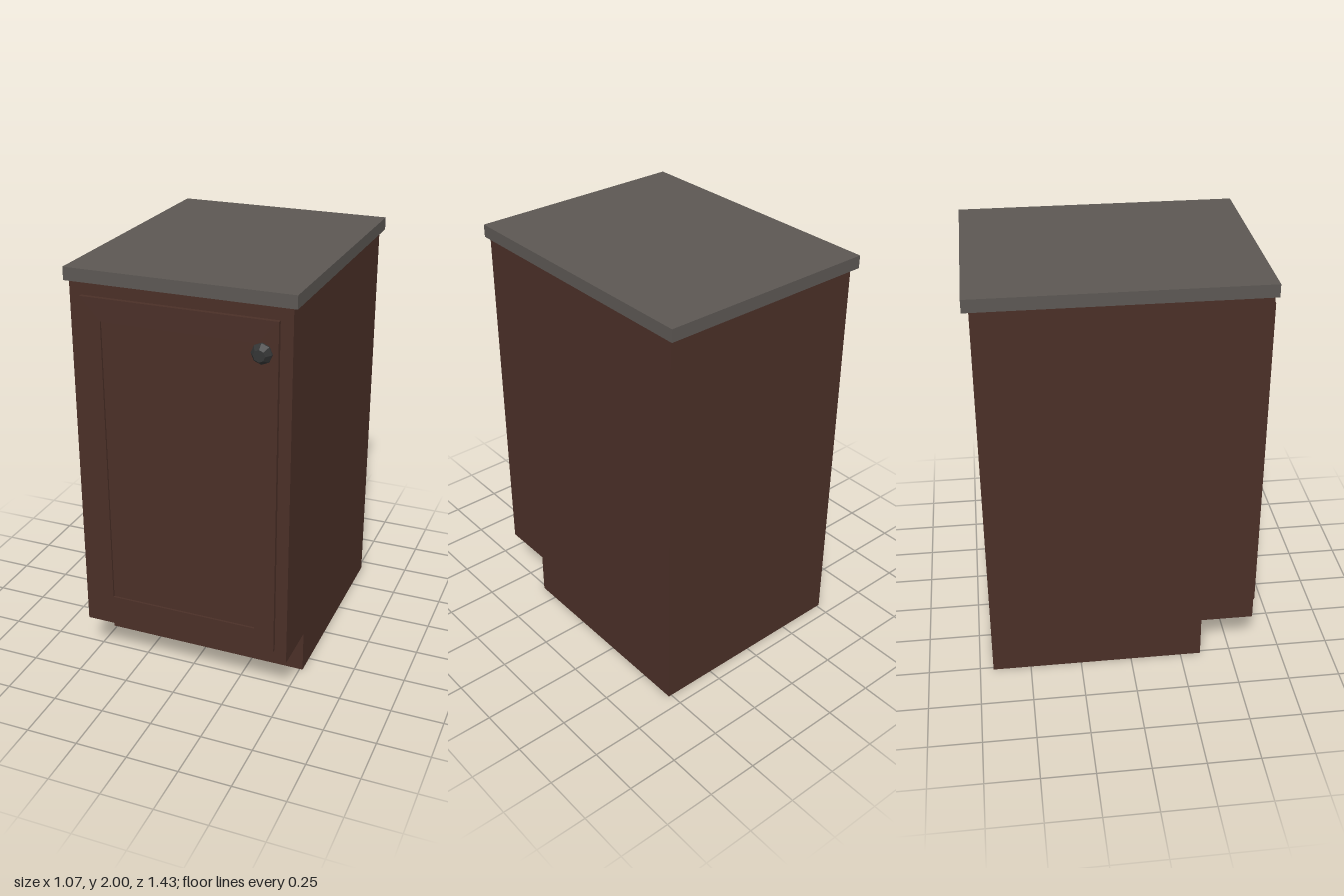
import * as THREE from 'three';

const wood = new THREE.MeshStandardMaterial({ color: 0x4a2f27, flatShading: true });
const stone = new THREE.MeshStandardMaterial({ color: 0x5c5753, flatShading: true });
const iron = new THREE.MeshStandardMaterial({ color: 0x333434, flatShading: true });

const polygon = (points) => new THREE.Shape(points.map(([x, y]) => new THREE.Vector2(x, y)));
const rectangle = (w, y0, y1) => [[-w, y0], [w, y0], [w, y1], [-w, y1]];
const extrude = (shape, depth) => new THREE.ExtrudeGeometry(shape, { depth, bevelEnabled: false });

export function createModel() {
  const group = new THREE.Group();
  const add = (name, geometry, material, x = 0, y = 0, z = 0) => {
    const mesh = new THREE.Mesh(geometry, material);
    mesh.name = name;
    mesh.position.set(x, y, z);
    group.add(mesh);
  };

  // Cabinet body: side profile (z, y) with the toe-kick notch, extruded across the width
  const halfWidth = 0.515;
  const profile = polygon([[-0.685, 0], [0.35, 0], [0.35, 0.21], [0.605, 0.21], [0.605, 1.94], [-0.685, 1.94]]);
  const body = extrude(profile, halfWidth * 2);
  body.translate(0, 0, -halfWidth).rotateY(-Math.PI / 2);
  add('cabinetBody', body, wood);

  // Overhanging countertop
  add('countertop', new THREE.BoxGeometry(1.07, 0.06, 1.335), stone, 0, 1.97, -0.0475);

  // Door: raised frame around a recessed panel
  const frame = polygon(rectangle(0.458, 0.27, 1.88));
  frame.holes.push(polygon(rectangle(0.363, 0.375, 1.775)));
  add('doorFrame', extrude(frame, 0.02), wood, 0, 0, 0.605);
  add('doorPanel', extrude(polygon(rectangle(0.363, 0.375, 1.775)), 0.01), wood, 0, 0, 0.605);

  // Faceted knob on a thin stem, turned to point forward
  const knobProfile = [[0.016, 0], [0.016, 0.032], [0.026, 0.032], [0.047, 0.053], [0.047, 0.061], [0.027, 0.09], [0, 0.09]];
  const knob = new THREE.LatheGeometry(knobProfile.map(([r, h]) => new THREE.Vector2(r, h)), 8);
  knob.rotateX(Math.PI / 2);
  add('doorKnob', knob, iron, 0.405, 1.755, 0.624);

  return group;
}
